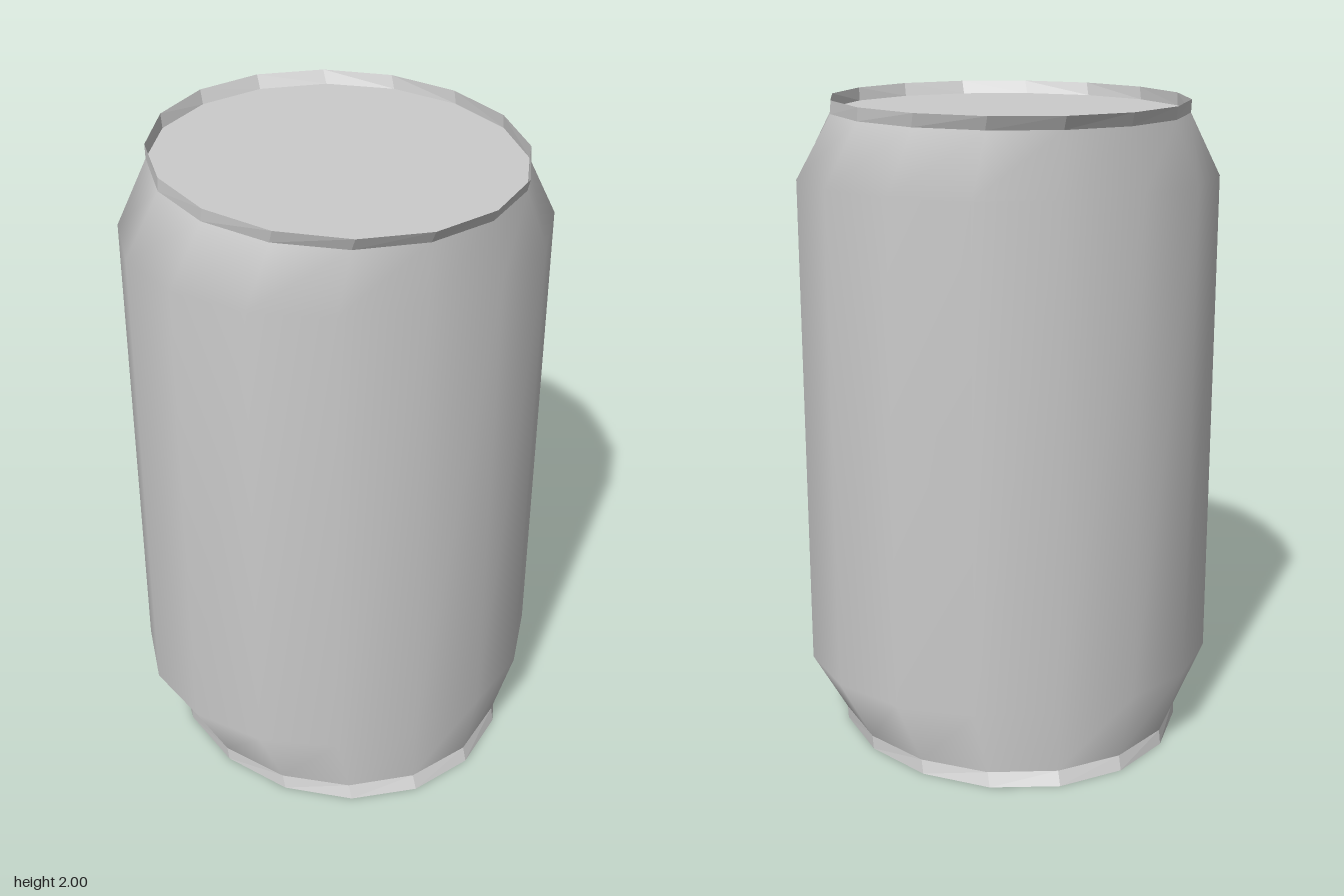
import * as THREE from 'three';
import { mergeVertices } from 'three/addons/utils/BufferGeometryUtils.js';

const SIDES = 16;

// Stacks oval rings, given from the top down as [y, x radius, z radius], into an open wall
function ovalWall(rings) {
  const geo = new THREE.CylinderGeometry(1, 1, 1, SIDES, rings.length - 1, true);
  const pos = geo.attributes.position;
  for (let i = 0; i < pos.count; i++) {
    const [y, rx, rz] = rings[Math.floor(i / (SIDES + 1))];
    pos.setXYZ(i, pos.getX(i) * rx, y, pos.getZ(i) * rz);
  }
  geo.deleteAttribute('uv');
  geo.deleteAttribute('normal');
  const welded = mergeVertices(geo, 1e-4);
  welded.computeVertexNormals();
  return welded;
}

export function createModel() {
  const group = new THREE.Group();
  const smooth = new THREE.MeshStandardMaterial({ color: 0xcccccc });
  const faceted = new THREE.MeshStandardMaterial({
    color: 0xcccccc, flatShading: true, side: THREE.DoubleSide,
  });
  const add = (name, geo, material) => {
    const mesh = new THREE.Mesh(geo, material);
    mesh.name = name;
    group.add(mesh);
    return mesh;
  };

  // Can wall: tapers to the ends across x, straight across z
  add('canBody', ovalWall([
    [1.96, 0.545, 0.592],
    [1.77, 0.652, 0.592],
    [0.23, 0.652, 0.592],
    [0.04, 0.545, 0.592],
  ]), smooth);

  // Thin flared rims around the recessed ends
  add('topRim', ovalWall([[2, 0.543, 0.615], [1.96, 0.545, 0.592]]), faceted);
  add('bottomRim', ovalWall([[0.04, 0.545, 0.592], [0, 0.543, 0.615]]), faceted);

  // Flat recessed ends
  for (const [name, y, turn] of [['topLid', 1.96, -1], ['bottomLid', 0.04, 1]]) {
    const disc = new THREE.CircleGeometry(1, SIDES);
    disc.rotateX(turn * Math.PI / 2);
    disc.scale(0.545, 1, 0.592);
    add(name, disc, faceted).position.y = y;
  }

  return group;
}
